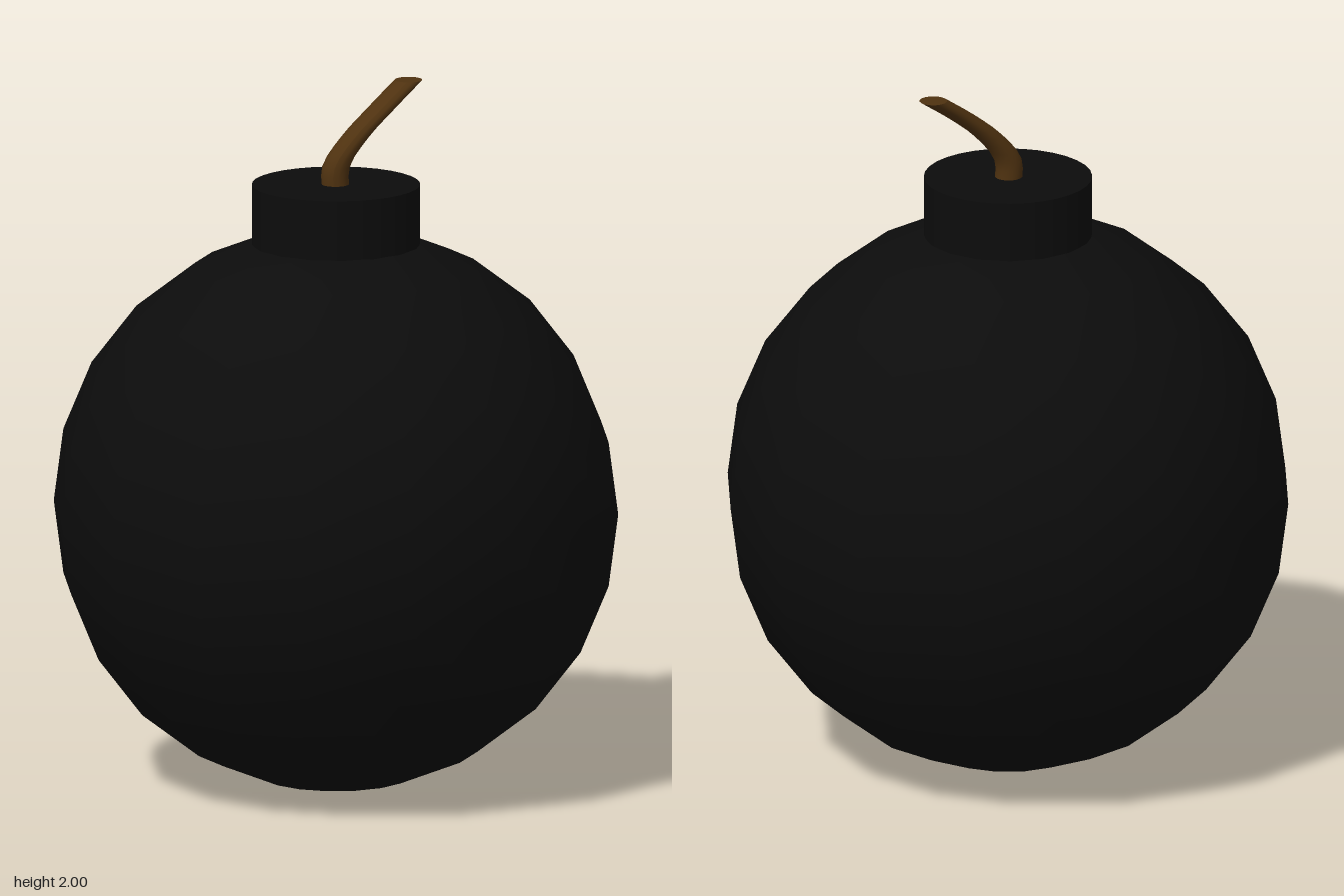
import * as THREE from 'three';

const black = new THREE.MeshStandardMaterial({ color: 0x0c0c0c });
const brown = new THREE.MeshStandardMaterial({ color: 0x4f3210 });

function addPart(group, name, geometry, material, y = 0) {
  const mesh = new THREE.Mesh(geometry, material);
  mesh.name = name;
  mesh.position.y = y;
  group.add(mesh);
}

// Fuse: level rings stacked along a bent path, so both ends stay horizontal
function fuseGeometry() {
  const path = new THREE.CatmullRomCurve3([
    new THREE.Vector3(0, 1.70, 0),
    new THREE.Vector3(0, 1.78, 0),
    new THREE.Vector3(0.05, 1.86, -0.035),
    new THREE.Vector3(0.115, 1.93, -0.09),
    new THREE.Vector3(0.185, 2.0, -0.165),
  ]);
  const geometry = new THREE.CylinderGeometry(0.039, 0.039, 1, 16, 12);
  const pos = geometry.attributes.position;
  for (let i = 0; i < pos.count; i++) {
    const t = THREE.MathUtils.clamp(pos.getY(i) + 0.5, 0, 1);
    const p = path.getPoint(t);
    pos.setXYZ(i, p.x + pos.getX(i), p.y, p.z + pos.getZ(i));
  }
  geometry.computeVertexNormals();
  return geometry;
}

export function createModel() {
  const group = new THREE.Group();
  group.name = 'bomb';

  // Round body
  addPart(group, 'body', new THREE.SphereGeometry(0.8, 16, 12), black, 0.8);

  // Short neck, sunk slightly into the body
  addPart(group, 'neck', new THREE.CylinderGeometry(0.237, 0.237, 0.2, 32), black, 1.63);

  addPart(group, 'fuse', fuseGeometry(), brown);
  return group;
}
